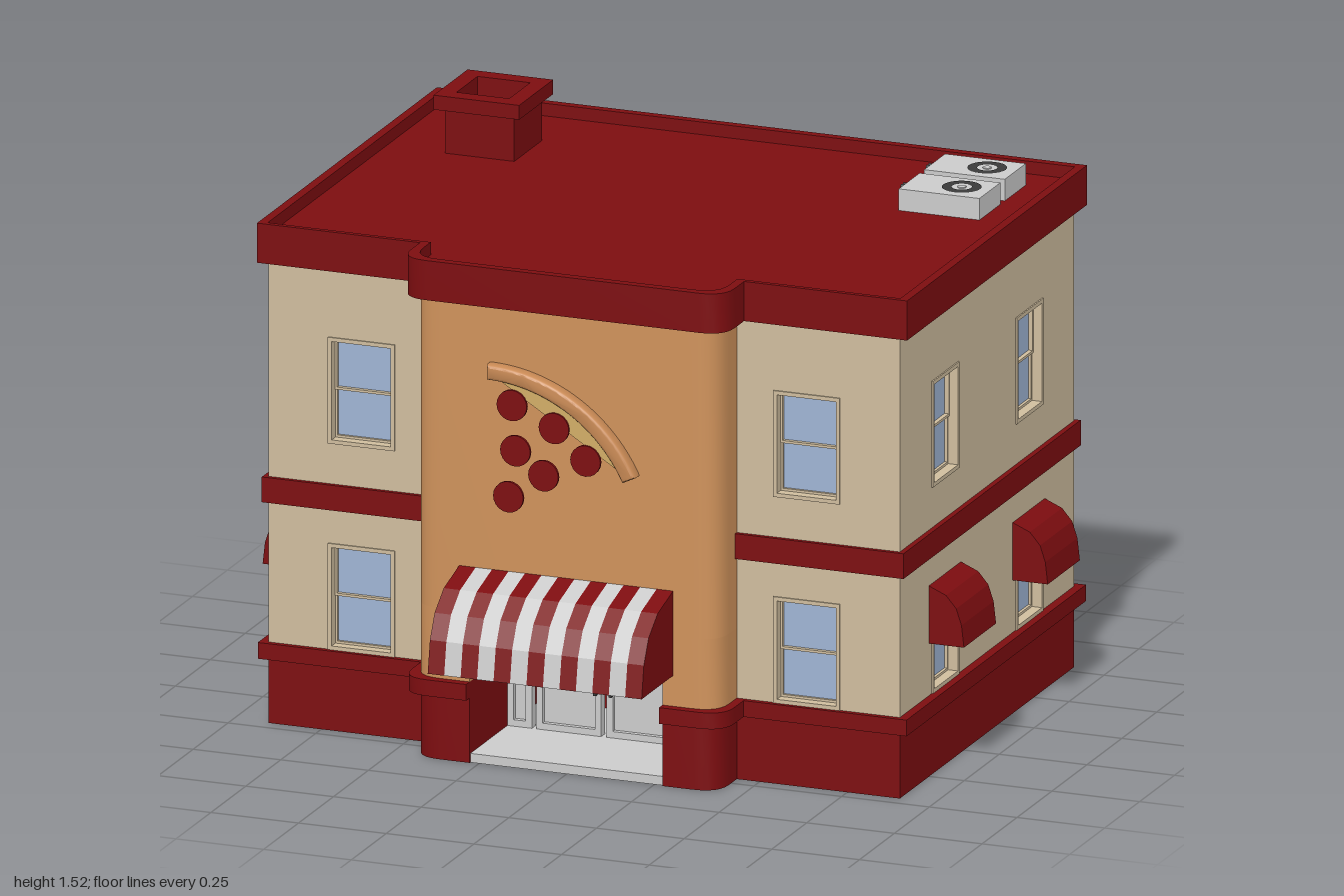
import * as THREE from 'three';
import { toCreasedNormals } from 'three/addons/utils/BufferGeometryUtils.js';

const mat = (color) => new THREE.MeshStandardMaterial({ color });
const red = mat(0x7d0d10), beige = mat(0xcfbd9e), orange = mat(0xcf925b), glass = mat(0x9fb4d4);
const grey = mat(0xcccccc), dark = mat(0x3a3a3a), cheese = mat(0xd2ad67), crustMat = mat(0xc98a55);

function add(parent, name, geometry, material, x = 0, y = 0, z = 0) {
  const m = new THREE.Mesh(geometry, material);
  m.name = name;
  m.position.set(x, y, z);
  parent.add(m);
  return m;
}

// Box given by its min and max corners
const span = (parent, name, material, [x0, y0, z0], [x1, y1, z1]) =>
  add(parent, name, new THREE.BoxGeometry(x1 - x0, y1 - y0, z1 - z0), material,
    (x0 + x1) / 2, (y0 + y1) / 2, (z0 + z1) / 2);

// Extrude a plan drawn in (x, z) from y0 up to y1
function plan(shape, y0, y1) {
  const g = new THREE.ExtrudeGeometry(shape, { depth: y1 - y0, bevelEnabled: false, curveSegments: 6 });
  return toCreasedNormals(g.rotateX(Math.PI / 2).translate(0, y1, 0), 0.6);
}

const HALF = 0.9, BACK = -0.785, FRONT = 0.46, BAY = 0.435, BAYZ = 0.59, DOOR = 0.275, DOORZ = 0.08;

// Rounded bay front, from +x to -x, optionally notched for the entrance
function bayFront(s, o, notch) {
  const b = BAY + o, f = BAYZ + o, r = 0.075;
  s.lineTo(b, f - r).quadraticCurveTo(b, f, b - r, f);
  if (notch) s.lineTo(DOOR, f).lineTo(DOOR, DOORZ).lineTo(-DOOR, DOORZ).lineTo(-DOOR, f);
  s.lineTo(-b + r, f).quadraticCurveTo(-b, f, -b, f - r);
}

// Whole floor plan, grown by o
function outline(o, notch = false) {
  const s = new THREE.Shape(), w = HALF + o, f = FRONT + o * 0.6, b = BAY + o;
  s.moveTo(-w, BACK - o).lineTo(w, BACK - o).lineTo(w, f).lineTo(b, f);
  bayFront(s, o, notch);
  s.lineTo(-b, f).lineTo(-w, f).closePath();
  return s;
}

function bayPlan(notch) {
  const s = new THREE.Shape().moveTo(-BAY, 0).lineTo(BAY, 0);
  bayFront(s, 0, notch);
  return s.closePath();
}

// Rectangle path
const rect = (P, x0, y0, x1, y1) =>
  new P().moveTo(x0, y0).lineTo(x1, y0).lineTo(x1, y1).lineTo(x0, y1).closePath();

// Rectangular frame centred on the origin, facing +z
function frameGeo(w, h, t, depth) {
  const s = rect(THREE.Shape, -w / 2, -h / 2, w / 2, h / 2);
  s.holes.push(rect(THREE.Path, -w / 2 + t, -h / 2 + t, w / 2 - t, h / 2 - t));
  return new THREE.ExtrudeGeometry(s, { depth, bevelEnabled: false });
}

const WIN_W = 0.19, WIN_H = 0.295, WIN_Y = [0.3725, 0.945];

// Sash window, outside face at z = 0
function sashWindow(x, y) {
  const g = new THREE.Group();
  g.name = 'window';
  g.position.set(x, y, 0);
  add(g, 'windowGlass', new THREE.BoxGeometry(WIN_W, WIN_H, 0.008), glass, 0, 0, -0.036);
  add(g, 'windowFrame', frameGeo(WIN_W, WIN_H, 0.011, 0.036), beige, 0, 0, -0.032);
  add(g, 'upperSash', frameGeo(WIN_W - 0.02, 0.14, 0.007, 0.012), beige, 0, 0.067, -0.032);
  add(g, 'lowerSash', frameGeo(WIN_W - 0.02, 0.14, 0.007, 0.008), beige, 0, -0.067, -0.032);
  return g;
}

// Wall panel facing local +z with two storeys of window openings
function wall(name, width, xs, x, z, turn) {
  const g = new THREE.Group();
  g.name = name;
  g.position.set(x, 0, z);
  g.rotation.y = turn;
  const s = rect(THREE.Shape, -width / 2, 0.2, width / 2, 1.3);
  for (const wx of xs) for (const wy of WIN_Y) {
    s.holes.push(rect(THREE.Path, wx - WIN_W / 2, wy - WIN_H / 2, wx + WIN_W / 2, wy + WIN_H / 2));
    g.add(sashWindow(wx, wy));
  }
  add(g, 'wallPanel', new THREE.ExtrudeGeometry(s, { depth: 0.04, bevelEnabled: false }), beige, 0, 0, -0.04);
  return g;
}

// Curved awning shell with closed ends, hung on z = 0 with its lower edge at y = 0
const CURVE = [[0, 1], [0.49, 0.87], [0.78, 0.66], [0.93, 0.38], [1, 0]];
function awning(name, width, depth, height, stripes) {
  const g = new THREE.Group();
  g.name = name;
  const pts = (k) => CURVE.map(([a, b]) => new THREE.Vector2(a * depth * k, b * height * k));
  const shell = new THREE.Shape([...pts(1), ...pts(0.94).reverse()]);
  const cap = new THREE.Shape([...pts(0.995), new THREE.Vector2(0, 0)]);
  const strip = (s, w) =>
    new THREE.ExtrudeGeometry(s, { depth: w, bevelEnabled: false }).rotateY(-Math.PI / 2).translate(w / 2, 0, 0);
  const w = width / stripes;
  for (let i = 0; i < stripes; i++)
    add(g, 'awningStripe', strip(shell, w), i % 2 ? grey : red, -width / 2 + (i + 0.5) * w);
  for (const s of [-1, 1]) add(g, 'awningEnd', strip(cap, 0.006), red, s * (width / 2 - 0.003));
  return g;
}

// Pizza slice sign, tip at the origin
function pizzaSign() {
  const g = new THREE.Group();
  g.name = 'pizzaSign';
  const a0 = 0.45, a1 = Math.PI / 2, r = 0.45;
  const s = new THREE.Shape().moveTo(0, 0).absarc(0, 0, r, a0, a1, false).closePath();
  add(g, 'slice', new THREE.ExtrudeGeometry(s, { depth: 0.02, bevelEnabled: false, curveSegments: 20 }), cheese);
  const c = new THREE.Shape().absarc(0, 0, r + 0.022, a0, a1, false);
  c.absarc(0, 0, r - 0.02, a1, a0, true).closePath();
  add(g, 'crust', toCreasedNormals(new THREE.ExtrudeGeometry(c, {
    depth: 0.02, bevelThickness: 0.012, bevelSize: 0.008, bevelOffset: -0.008, bevelSegments: 3, curveSegments: 20,
  }), 0.8), crustMat, 0, 0, 0.004);
  for (const [x, y] of [[0.07, 0.365], [0.19, 0.315], [0.08, 0.24], [0.28, 0.235], [0.16, 0.18], [0.06, 0.11]])
    add(g, 'pepperoni', new THREE.CylinderGeometry(0.043, 0.043, 0.008, 20).rotateX(Math.PI / 2), red, x, y, 0.022);
  return g;
}

// Glazed entrance behind the doorway
function entrance() {
  const g = new THREE.Group();
  g.name = 'entrance';
  span(g, 'entranceFloor', grey, [-DOOR, 0, DOORZ], [DOOR, 0.025, 0.585]);
  span(g, 'doorHeader', grey, [-DOOR, 0.36, 0.28], [DOOR, 0.42, 0.32]);
  for (const [x, w] of [[-0.24, 0.07], [-0.1, 0.185], [0.1, 0.185], [0.24, 0.07]]) {
    add(g, 'doorPanel', new THREE.BoxGeometry(w, 0.335, 0.012), grey, x, 0.1925, 0.3);
    add(g, 'doorFrame', frameGeo(w, 0.335, 0.018, 0.016), grey, x, 0.1925, 0.304);
  }
  for (const s of [-1, 1]) add(g, 'doorHandle', new THREE.BoxGeometry(0.008, 0.08, 0.012), dark, s * 0.022, 0.18, 0.326);
  return g;
}

// Rooftop air conditioner
function airConditioner(z) {
  const g = new THREE.Group();
  g.name = 'airConditioner';
  g.position.set(0.685, 1.355, z);
  add(g, 'unitCase', new THREE.BoxGeometry(0.23, 0.06, 0.15), grey, 0, 0.03);
  add(g, 'fanRing', new THREE.RingGeometry(0.027, 0.053, 24).rotateX(-Math.PI / 2), dark, 0.035, 0.0615);
  add(g, 'fanHub', new THREE.CylinderGeometry(0.012, 0.012, 0.004, 12), grey, 0.035, 0.061);
  for (const dz of [-0.052, -0.036])
    add(g, 'pipe', new THREE.CylinderGeometry(0.007, 0.007, 0.04, 8).rotateZ(Math.PI / 2), dark, -0.132, 0.03, dz);
  return g;
}

export function createModel() {
  const model = new THREE.Group();
  model.name = 'pizzaRestaurant';

  // Base, ledge and the bay with its doorway
  add(model, 'base', plan(outline(0, true), 0, 0.18), red);
  add(model, 'baseLedge', plan(outline(0.025, true), 0.18, 0.225), red);
  add(model, 'bayDoorway', plan(bayPlan(true), 0.225, 0.42), orange);
  add(model, 'bayWall', plan(bayPlan(false), 0.42, 1.28), orange);
  model.add(entrance());

  // Walls and windows
  const midZ = (FRONT + BACK) / 2, depth = FRONT - BACK;
  for (const s of [-1, 1]) {
    model.add(wall('frontWall', 0.48, [-s * 0.025], s * 0.66, FRONT, 0));
    const side = wall('sideWall', depth, [-0.3, 0.3], s * HALF, midZ, s * Math.PI / 2);
    for (const x of [-0.3, 0.3]) {
      const hood = awning('windowAwning', 0.23, 0.1, 0.16, 1);
      hood.position.set(x, 0.37, 0);
      side.add(hood);
    }
    model.add(side);
  }
  model.add(wall('backWall', HALF * 2, [-0.635, 0.635], 0, BACK, Math.PI));
  span(model, 'middleBand', red, [-0.915, 0.615, -0.797], [0.915, 0.685, 0.472]);

  // Roof slab with parapet
  add(model, 'roof', plan(outline(0.01), 1.28, 1.355), red);
  const parapet = outline(0.027);
  parapet.holes.push(new THREE.Path(outline(0.002).getPoints(6)));
  add(model, 'parapet', plan(parapet, 1.28, 1.39), red);

  // Chimney, open at the top
  const chimney = new THREE.Group();
  chimney.name = 'chimney';
  chimney.position.set(-0.635, 0, -0.483);
  const square = (o) => {
    const s = rect(THREE.Shape, -o, -o, o, o);
    s.holes.push(rect(THREE.Path, -0.075, -0.075, 0.075, 0.075));
    return s;
  };
  add(chimney, 'chimneyStack', plan(square(0.099), 1.355, 1.48), red);
  add(chimney, 'chimneyCap', plan(square(0.122), 1.48, 1.52), red);
  model.add(chimney, airConditioner(-0.617), airConditioner(-0.435));

  // Striped entrance awning and sign
  const canopy = awning('entranceAwning', 0.61, 0.225, 0.235, 13);
  canopy.position.set(0, 0.31, BAYZ);
  const sign = pizzaSign();
  sign.position.set(-0.215, 0.65, BAYZ);
  model.add(canopy, sign);
  return model;
}
